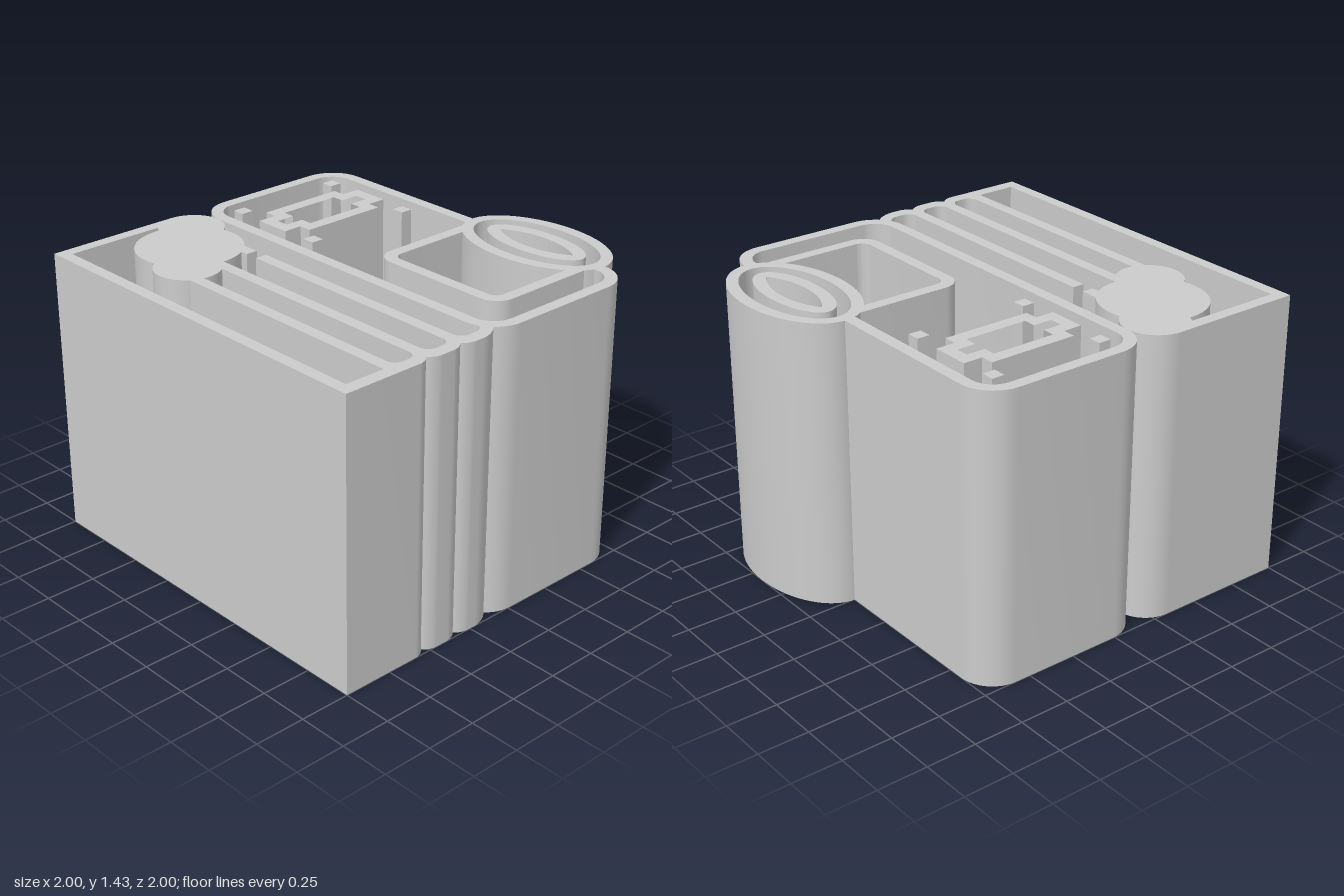
import * as THREE from 'three';
import { toCreasedNormals } from 'three/addons/utils/BufferGeometryUtils.js';

const HEIGHT = 1.43;
const material = new THREE.MeshStandardMaterial({ color: 0xcccccc });

// Closed outline from [x, z, cornerSize] points; corners with a size are rounded.
function outline(points, Type = THREE.Shape) {
  const path = new Type();
  const n = points.length;
  points.forEach(([x, z, r = 0], i) => {
    const corner = new THREE.Vector2(x, z);
    const toward = (p, d) => {
      const v = new THREE.Vector2(p[0] - x, p[1] - z).setLength(d);
      return v.add(corner);
    };
    const prev = points[(i + n - 1) % n], next = points[(i + 1) % n];
    const a = r ? toward(prev, r) : corner;
    if (i === 0) path.moveTo(a.x, a.y);
    else path.lineTo(a.x, a.y);
    if (r) {
      const c1 = toward(prev, r * 0.448), c2 = toward(next, r * 0.448), b = toward(next, r);
      path.bezierCurveTo(c1.x, c1.y, c2.x, c2.y, b.x, b.y);
    }
  });
  path.closePath();
  return path;
}

function ellipse(x, z, rx, rz, Type = THREE.Shape) {
  return new Type().absellipse(x, z, rx, rz, 0, Math.PI * 2);
}

// Plus-shaped outline: a main block with a narrower block through it.
function plus(cx, cz, wide, short, narrow, long, Type) {
  const quarter = [[narrow, long], [narrow, short], [wide, short]];
  const flip = (sx, sz) => quarter.map(([x, z]) => [cx + sx * x, cz + sz * z]);
  return outline([...flip(1, 1), ...flip(1, -1).reverse(), ...flip(-1, -1), ...flip(-1, 1).reverse()], Type);
}

function rect(x0, z0, x1, z1) {
  return outline([[x0, z0], [x1, z0], [x1, z1], [x0, z1]]);
}

export function createModel() {
  const group = new THREE.Group();

  // Stands a plan shape up to full height.
  const add = (name, shape, hole) => {
    if (hole) shape.holes.push(hole);
    const geometry = new THREE.ExtrudeGeometry(shape, {
      depth: HEIGHT, bevelEnabled: false, curveSegments: shape.curves.length === 1 ? 72 : 12,
    });
    geometry.rotateX(Math.PI / 2).translate(0, HEIGHT, 0);
    const mesh = new THREE.Mesh(toCreasedNormals(geometry, 0.5), material);
    mesh.name = name;
    group.add(mesh);
  };

  // Rounded rear frame, open where the oval tube interrupts it
  add('rearFrame', outline([
    [0.03, -0.75], [-1, -0.75, 0.17], [-1, 0.16, 0.17], [1, 0.16, 0.17], [1, -0.75, 0.17], [0.81, -0.75],
    [0.81, -0.69], [0.94, -0.69, 0.11], [0.94, 0.10, 0.11], [-0.94, 0.10, 0.11], [-0.94, -0.69, 0.11], [0.03, -0.69],
  ]));

  // Oval tube with an eye-shaped ring inside
  const cx = 0.415, cz = -0.745;
  add('ovalTube', ellipse(cx, cz, 0.418, 0.255), ellipse(cx, cz, 0.36, 0.195, THREE.Path));
  const lens = new THREE.Path();
  lens.moveTo(cx - 0.23, cz);
  lens.bezierCurveTo(cx - 0.11, cz + 0.09, cx + 0.11, cz + 0.09, cx + 0.23, cz);
  lens.bezierCurveTo(cx + 0.11, cz - 0.09, cx - 0.11, cz - 0.09, cx - 0.23, cz);
  add('eyeRing', ellipse(cx, cz, 0.29, 0.127), lens);

  // U-shaped pocket hanging from the oval tube
  add('pocketWall', outline([
    [0.03, -0.67], [0.03, -0.07, 0.1], [0.80, -0.07, 0.1], [0.80, -0.67],
    [0.74, -0.62], [0.74, -0.13, 0.05], [0.09, -0.13, 0.05], [0.09, -0.62],
  ]));

  // Stepped ring with four square posts around it
  add('steppedRing', plus(-0.585, -0.293, 0.16, 0.225, 0.095, 0.322),
    plus(-0.585, -0.293, 0.095, 0.162, 0.033, 0.258, THREE.Path));
  for (const x of [-0.84, -0.325]) {
    for (const z of [-0.585, -0.002]) add('squarePost', rect(x - 0.032, z - 0.032, x + 0.032, z + 0.032));
  }

  // Front tray: outer walls, scalloped right side and three long ribs
  add('frontTray', outline([
    [-1, 0.32], [-1, 1], [1, 1], [1, 0.56, 0.03], [0.97, 0.53],
    [1, 0.5, 0.035], [1, 0.36, 0.035], [0.97, 0.33],
    [1, 0.3, 0.035], [1, 0.16, 0.06], [0.95, 0.11], [0.936, 0.096], [0.87, 0.14],
    [0.935, 0.155, 0.045], [0.935, 0.29, 0.05], [-0.325, 0.29],
    [-0.325, 0.35], [0.935, 0.35, 0.05], [0.935, 0.485, 0.05], [-0.45, 0.485],
    [-0.45, 0.545], [0.935, 0.545, 0.05], [0.935, 0.675, 0.05], [-0.4, 0.675],
    [-0.4, 0.735], [0.935, 0.735], [0.935, 0.94], [-0.94, 0.94], [-0.94, 0.32],
  ]));

  // Solid column: union of three circles, traced around the middle one
  const mx = -0.65, mz = 0.482, mr = 0.257;
  const lobes = [[-0.84, 0.32, 0.16], [-0.455, 0.645, 0.16]];
  const rim = [];
  for (let i = 0; i < 180; i++) {
    const a = (i / 180) * Math.PI * 2, dx = Math.cos(a), dz = Math.sin(a);
    let reach = mr;
    for (const [x, z, r] of lobes) {
      const along = (x - mx) * dx + (z - mz) * dz;
      const across = (x - mx) * dz - (z - mz) * dx;
      if (Math.abs(across) < r) reach = Math.max(reach, along + Math.sqrt(r * r - across * across));
    }
    rim.push([mx + dx * reach, mz + dz * reach]);
  }
  add('lobedColumn', outline(rim));
  add('columnNub', rect(-0.5, 0.29, -0.39, 0.35));

  return group;
}
